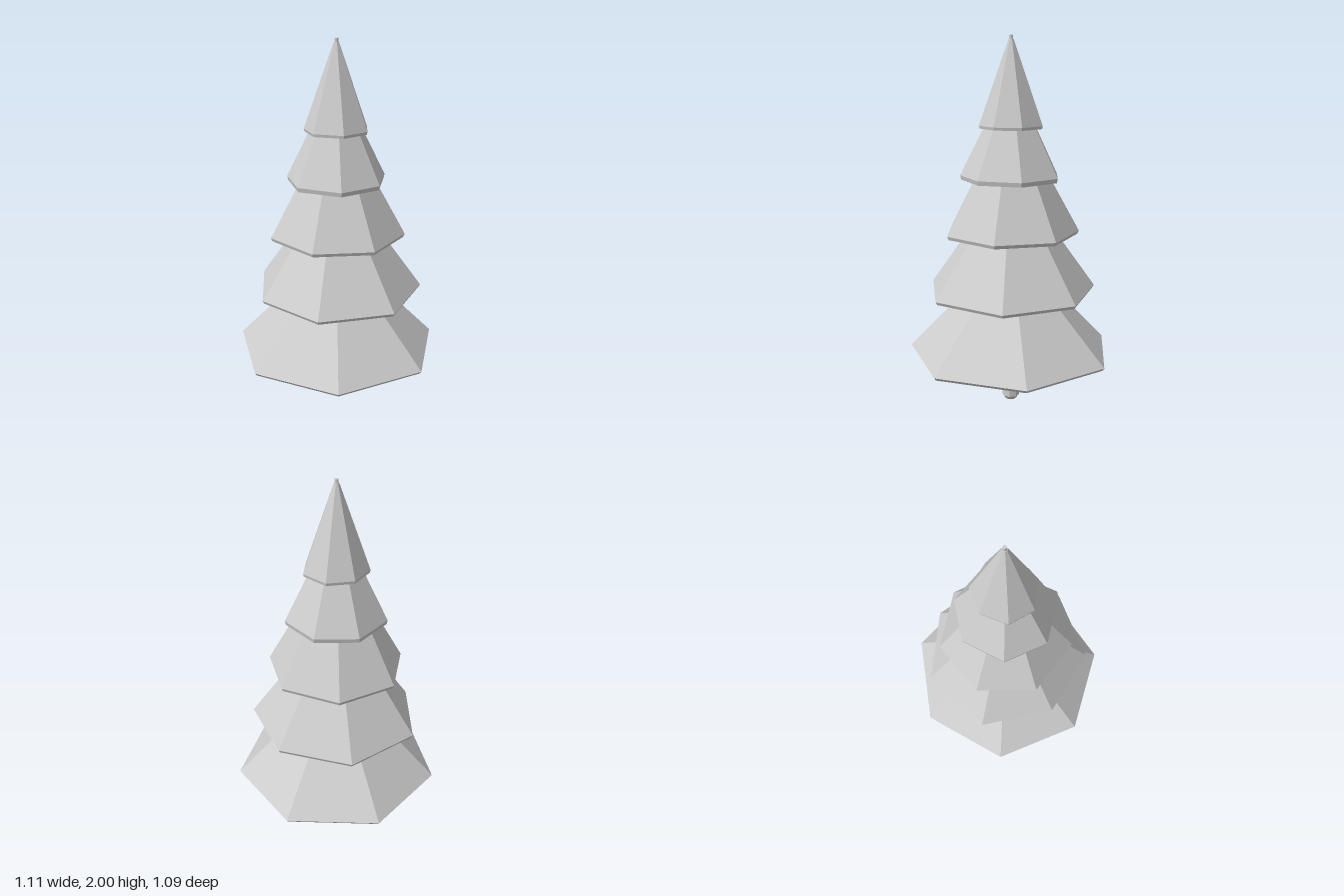
import * as THREE from 'three';

const AXIS_Z = -0.025;

// Each tier: lid height, rim height, top height, top scale, rim outline [x, z]
const TIERS = [
  { lid: 0.285, rim: 0.3, top: 0.66, scale: 0.39, outline: [[-0.26, -0.53], [0.23, -0.545], [0.55, -0.17], [0.46, 0.31], [0.02, 0.54], [-0.425, 0.345], [-0.555, -0.13]] },
  { lid: 0.635, rim: 0.652, top: 0.985, scale: 0.49, outline: [[-0.11, -0.478], [0.28, -0.39], [0.47, -0.04], [0.305, 0.33], [-0.085, 0.43], [-0.39, 0.19], [-0.425, -0.215]] },
  { lid: 0.958, rim: 0.976, top: 1.275, scale: 0.55, outline: [[-0.04, -0.39], [0.265, -0.285], [0.37, 0.015], [0.2, 0.285], [-0.115, 0.32], [-0.345, 0.095], [-0.31, -0.22]] },
  { lid: 1.252, rim: 1.275, top: 1.545, scale: 0.5, outline: [[-0.13, -0.26], [0.095, -0.28], [0.26, -0.11], [0.225, 0.12], [0.03, 0.245], [-0.195, 0.16], [-0.265, -0.065]] },
  { lid: 1.525, rim: 1.54, top: 1.98, scale: 0.08, outline: [[-0.1, -0.16], [0.04, -0.195], [0.16, -0.1], [0.16, 0.045], [0.04, 0.14], [-0.115, 0.1], [-0.17, -0.03]] },
];

// Closed faceted skirt: flat lid, short lip, sloping sides, small cap
function tierGeometry({ lid, rim, top, scale, outline }) {
  const ring = (y, s) => outline.map(([x, z]) => [x * s, y, AXIS_Z + (z - AXIS_Z) * s]);
  const rings = [ring(lid, 0.98), ring(rim, 1), ring(top, scale)];
  const n = outline.length;
  const positions = [];
  const tri = (a, b, c) => positions.push(...a, ...b, ...c);
  for (let i = 0; i < n; i++) {
    const j = (i + 1) % n;
    for (let k = 0; k < 2; k++) {
      const low = rings[k], high = rings[k + 1];
      tri(low[j], low[i], high[i]);
      tri(low[j], high[i], high[j]);
    }
    tri([0, lid, AXIS_Z], rings[0][i], rings[0][j]);
    tri([0, top, AXIS_Z], rings[2][j], rings[2][i]);
  }
  const geometry = new THREE.BufferGeometry();
  geometry.setAttribute('position', new THREE.Float32BufferAttribute(positions, 3));
  geometry.computeVertexNormals();
  return geometry;
}

export function createModel() {
  const tree = new THREE.Group();
  tree.name = 'firTree';
  const grey = new THREE.MeshStandardMaterial({ color: 0xcccccc, flatShading: true });
  grey.name = 'light grey';

  // Tapered trunk, chamfered at the foot and poking out at the tip
  const profile = [[0, 0], [0.03, 0], [0.047, 0.022], [0.01, 2], [0, 2]];
  const trunk = new THREE.Mesh(
    new THREE.LatheGeometry(profile.map(([r, y]) => new THREE.Vector2(r, y)), 8), grey);
  trunk.name = 'trunk';
  trunk.position.z = AXIS_Z;
  tree.add(trunk);

  // Five stacked branch tiers
  const branches = new THREE.Group();
  branches.name = 'branches';
  TIERS.forEach((tier, i) => {
    const mesh = new THREE.Mesh(tierGeometry(tier), grey);
    mesh.name = `branchTier${i + 1}`;
    branches.add(mesh);
  });
  tree.add(branches);
  return tree;
}
